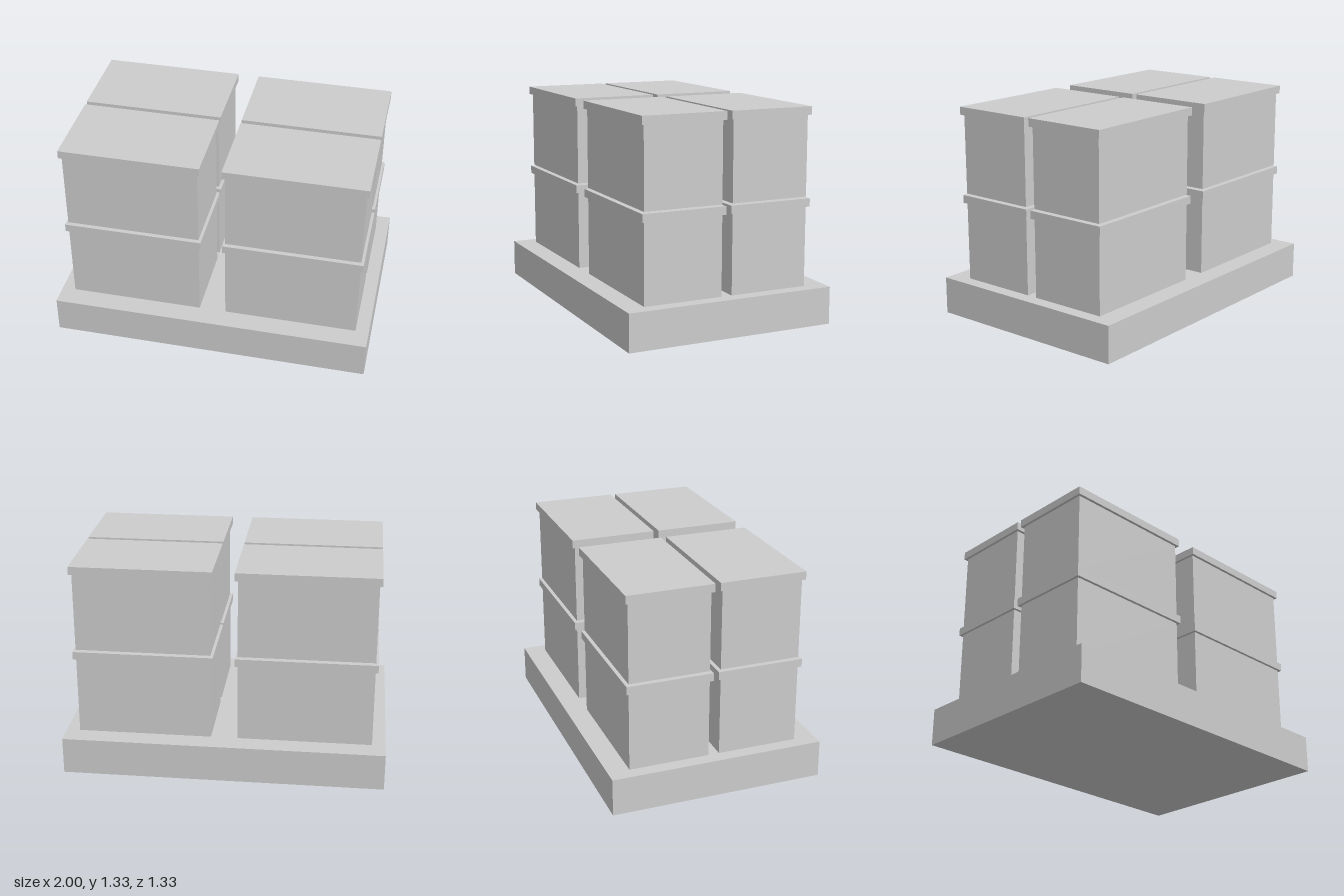
import * as THREE from 'three';

export function createModel() {
  const model = new THREE.Group();
  model.name = 'palletOfBoxes';
  const grey = new THREE.MeshStandardMaterial({ color: 0xcccccc });
  grey.name = 'light grey';

  // Box standing on the given height
  function block(name, parent, w, h, d, y) {
    const mesh = new THREE.Mesh(new THREE.BoxGeometry(w, h, d), grey);
    mesh.name = name;
    mesh.position.y = y + h / 2;
    parent.add(mesh);
    return mesh;
  }

  // Pallet slab
  const baseHeight = 0.233;
  block('pallet', model, 2, baseHeight, 1.333, 0);

  // Two layers of four lidded boxes, with a slight gap between layers
  const bodyHeight = 0.494, lidHeight = 0.05, pitch = 0.553;
  for (let layer = 0; layer < 2; layer++) {
    for (const x of [-0.5, 0.5]) {
      for (const z of [-0.284, 0.284]) {
        const box = new THREE.Group();
        box.name = 'liddedBox';
        box.position.set(x, baseHeight + layer * pitch, z);
        block('boxBody', box, 0.833, bodyHeight, 0.5, 0);
        block('boxLid', box, 0.866, lidHeight, 0.535, bodyHeight);
        model.add(box);
      }
    }
  }
  return model;
}
